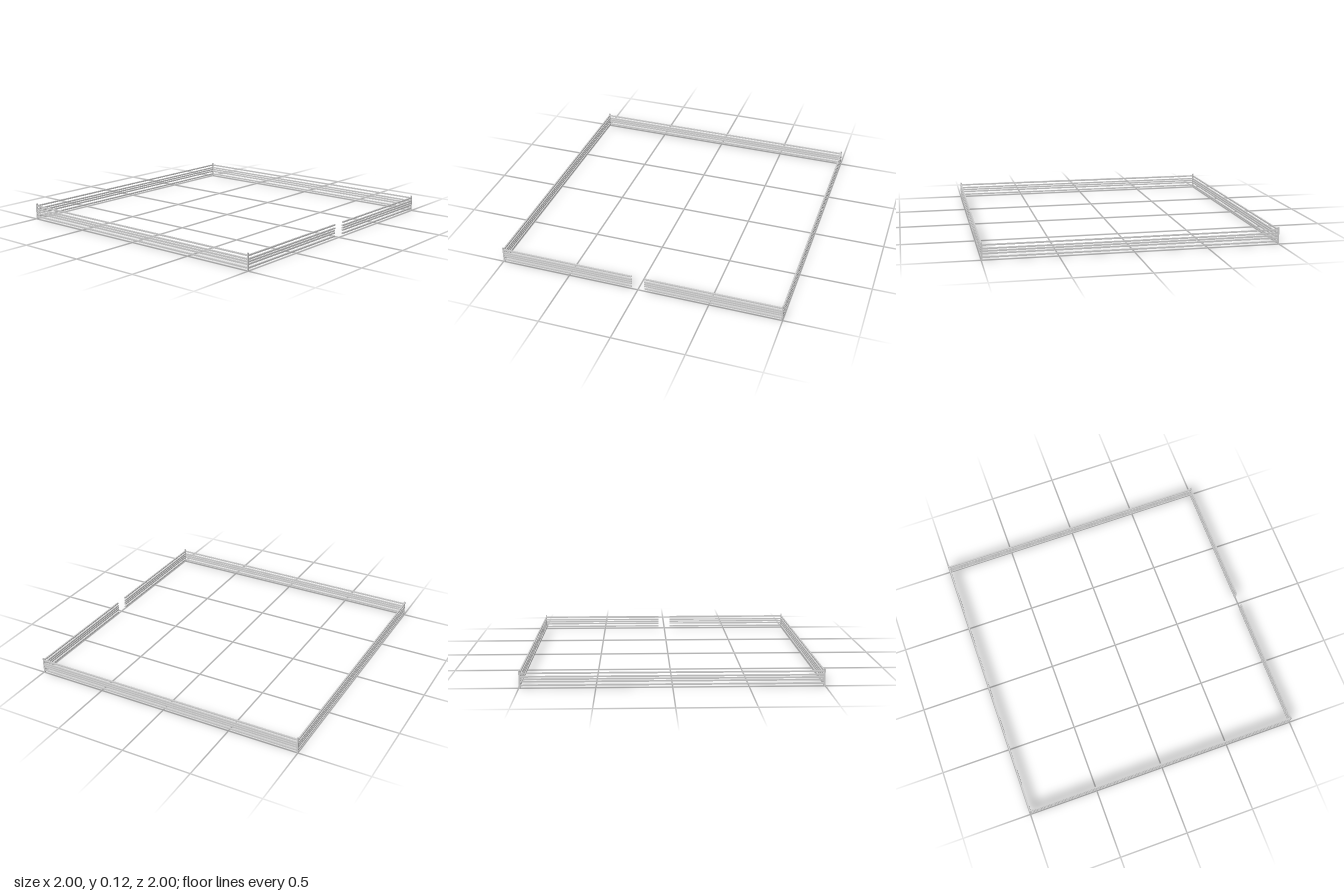
import * as THREE from 'three';

const T = 0.01;               // thickness of posts and rails
const C = 1 - T / 2;          // centre line of each side
const GAP = 0.047;            // half width of the entrance
const POST_HEIGHT = 0.116;
const RAIL_HEIGHTS = [0.0185, 0.042, 0.0585, 0.075, 0.0985];

export function createModel() {
  const model = new THREE.Group();
  model.name = 'railFence';
  const material = new THREE.MeshStandardMaterial({ color: 0xcccccc, flatShading: true });

  function box(parent, name, w, h, d, x, y, z) {
    const mesh = new THREE.Mesh(new THREE.BoxGeometry(w, h, d), material);
    mesh.name = name;
    mesh.position.set(x, y, z);
    parent.add(mesh);
  }

  // One stack of horizontal rails
  function railStack(name, w, d, x, z) {
    const stack = new THREE.Group();
    stack.name = name;
    for (const y of RAIL_HEIGHTS) box(stack, 'rail', w, T, d, x, y, z);
    model.add(stack);
  }

  // Corner posts
  for (const x of [-C, C])
    for (const z of [-C, C]) box(model, 'cornerPost', T, POST_HEIGHT, T, x, POST_HEIGHT / 2, z);

  // Closed sides, running between the posts
  const span = 2 * (1 - T);
  railStack('frontRails', span, T, 0, C);
  railStack('backRails', span, T, 0, -C);
  railStack('rightRails', T, span, -C, 0);

  // Left side, split by the entrance
  const half = 1 - T - GAP;
  railStack('leftFrontRails', T, half, C, GAP + half / 2);
  railStack('leftBackRails', T, half, C, -GAP - half / 2);

  return model;
}
